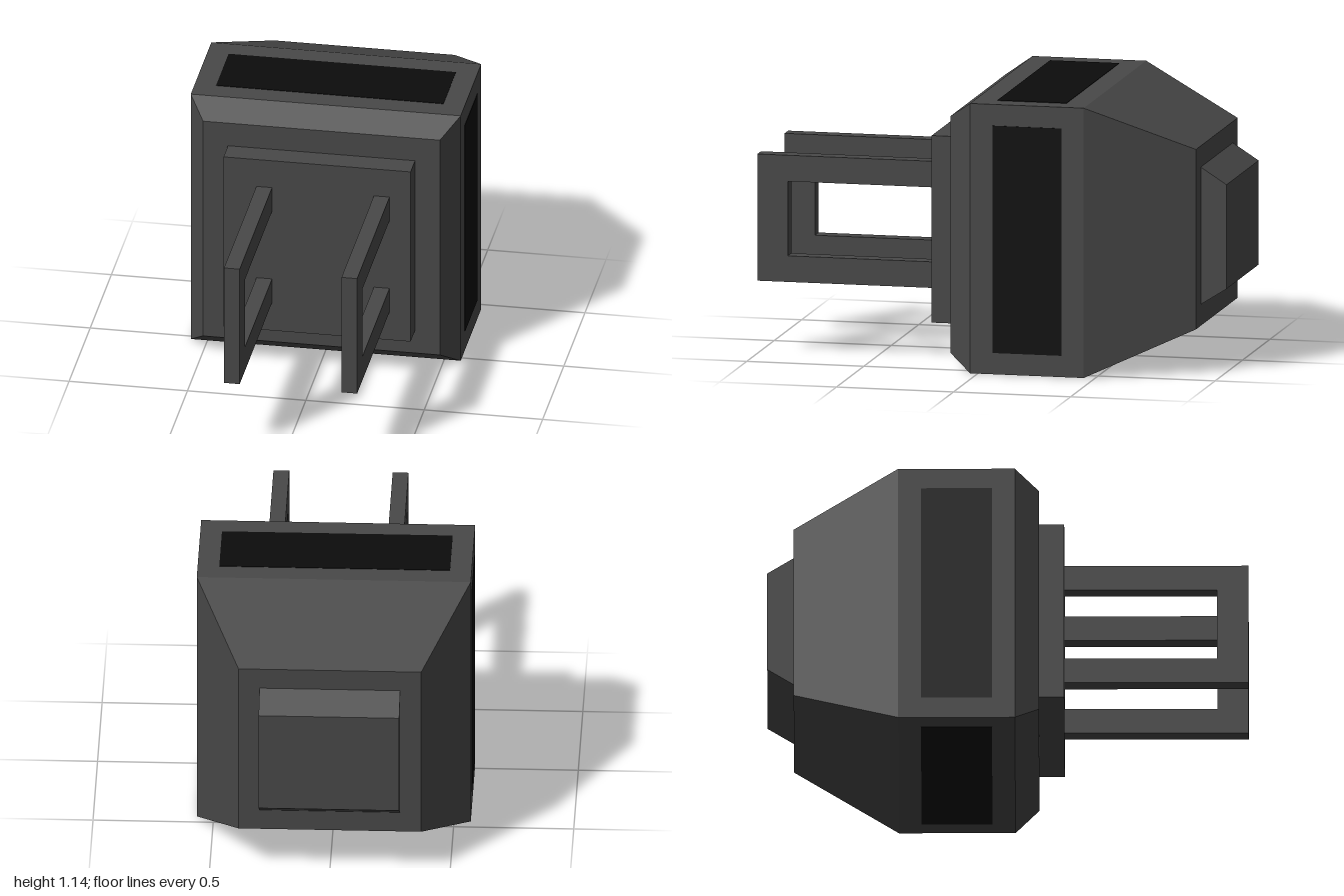
import * as THREE from 'three';

const MID = 0.57; // height of the plug's axis
const shell = new THREE.MeshStandardMaterial({ color: 0x484848, flatShading: true });
const dark = new THREE.MeshStandardMaterial({ color: 0x0c0c0c, flatShading: true });

function add(parent, name, geometry, material, x = 0, y = 0, z = 0) {
  const mesh = new THREE.Mesh(geometry, material);
  mesh.name = name;
  mesh.position.set(x, y, z);
  parent.add(mesh);
  return mesh;
}

// Square housing: [half width, z] steps from back to front, turned with four sides
function housingGeometry() {
  const steps = [[0, -0.89], [0.38, -0.89], [0.57, -0.455], [0.57, 0.03], [0.5, 0.13], [0, 0.13]];
  const profile = steps.map(([half, z]) => new THREE.Vector2(half * Math.SQRT2, z));
  const geometry = new THREE.LatheGeometry(profile, 4, Math.PI / 4).rotateX(Math.PI / 2).toNonIndexed();
  geometry.computeVertexNormals();
  return geometry;
}

// Rear block whose top and bottom slope in toward the back
function rearBlockGeometry() {
  const geometry = new THREE.BoxGeometry(0.585, 0.58, 0.11);
  const p = geometry.attributes.position;
  for (let i = 0; i < p.count; i++) {
    if (p.getZ(i) < 0) p.setY(i, Math.sign(p.getY(i)) * 0.22);
  }
  geometry.computeVertexNormals();
  return geometry;
}

// Prong: flat bar with a rectangular window, drawn in z-y and extruded along x
function prongGeometry() {
  const rect = (Type, a, b, c, d) => new Type([[a, b], [c, b], [c, d], [a, d]]
    .map(([u, v]) => new THREE.Vector2(u, v)));
  const shape = rect(THREE.Shape, 0.2, 0.305, 1, 0.84);
  shape.holes.push(rect(THREE.Path, 0.225, 0.415, 0.87, 0.73));
  return new THREE.ExtrudeGeometry(shape, { depth: 0.066, bevelEnabled: false })
    .translate(0, 0, -0.033).rotateY(-Math.PI / 2);
}

export function createModel() {
  const model = new THREE.Group();
  model.name = 'powerPlug';

  add(model, 'housing', housingGeometry(), shell, 0, MID, 0);
  add(model, 'facePlate', new THREE.BoxGeometry(0.79, 0.79, 0.105), shell, 0, MID, 0.1825);
  add(model, 'rearBlock', rearBlockGeometry(), shell, 0, MID, -0.945);

  // Dark inlay on each of the four sides
  for (let i = 0; i < 4; i++) {
    const turn = i * Math.PI / 2;
    const inlay = add(model, 'gripPanel' + (i + 1), new THREE.BoxGeometry(0.96, 0.01, 0.295), dark,
      -Math.sin(turn) * 0.567, MID + Math.cos(turn) * 0.567, -0.213);
    inlay.rotation.z = turn;
  }

  // Two contact prongs
  const prong = prongGeometry();
  add(model, 'rightProng', prong, shell, -0.223);
  add(model, 'leftProng', prong, shell, 0.273);

  return model;
}
